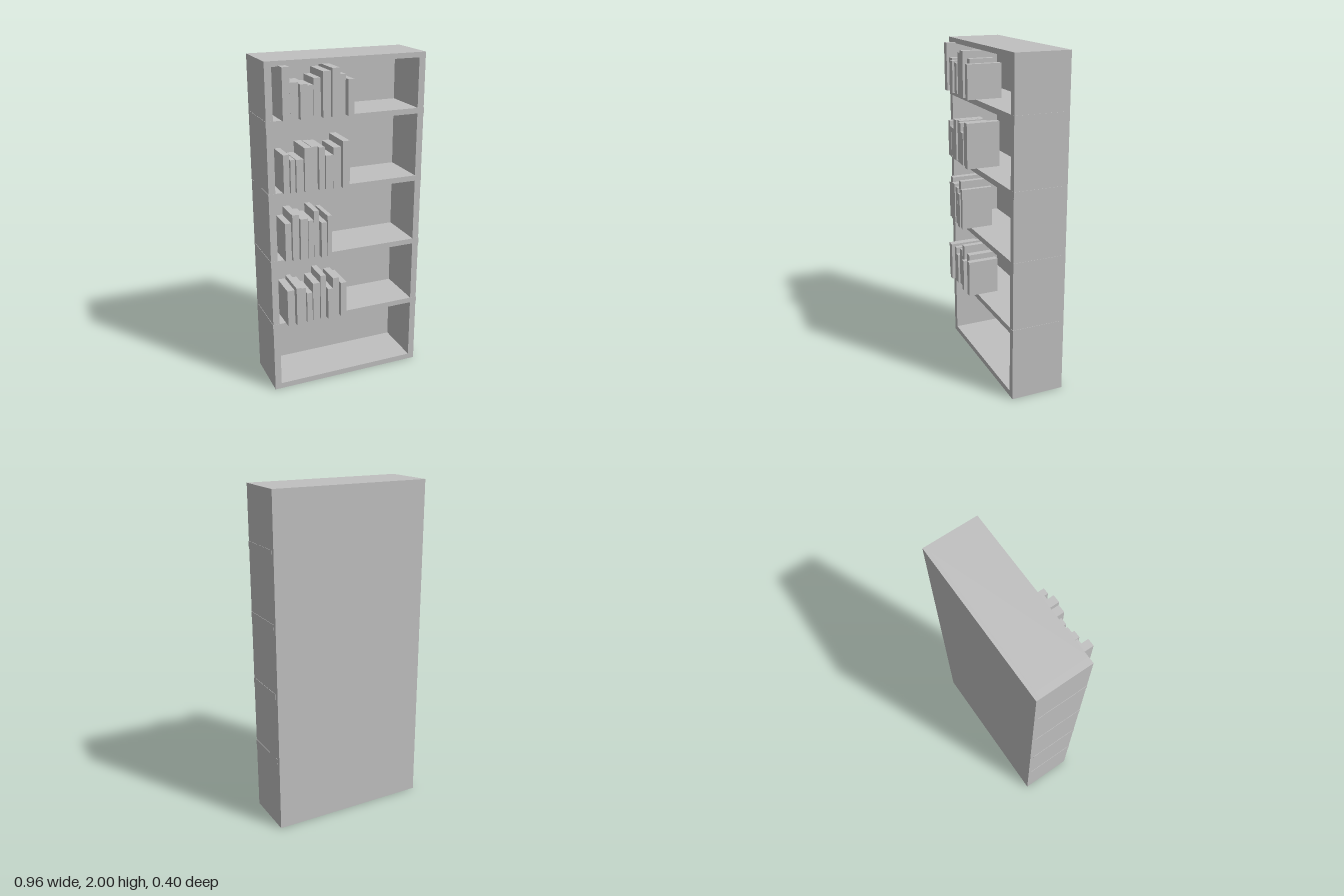
import * as THREE from 'three';

const grey = new THREE.MeshStandardMaterial({ color: 0xc0c0c0 });
grey.name = 'plain grey';

// Box given by its minimum and maximum corners
function box(parent, name, x0, x1, y0, y1, z0, z1) {
  const mesh = new THREE.Mesh(new THREE.BoxGeometry(x1 - x0, y1 - y0, z1 - z0), grey);
  mesh.position.set((x0 + x1) / 2, (y0 + y1) / 2, (z0 + z1) / 2);
  mesh.name = name;
  parent.add(mesh);
}

// Each row: base height, then books as [left, right, top, front]
const rows = [
  { base: 1.69, books: [
    [-0.404, -0.362, 1.975, 0.186], [-0.357, -0.31, 1.89, 0.172], [-0.304, -0.263, 1.88, 0.188],
    [-0.26, -0.225, 1.87, 0.176], [-0.22, -0.18, 1.905, 0.168], [-0.174, -0.128, 1.94, 0.187],
    [-0.122, -0.077, 1.955, 0.193], [-0.07, -0.034, 1.915, 0.168], [-0.03, 0.005, 1.89, 0.197]] },
  { base: 1.278, books: [
    [-0.404, -0.37, 1.5, 0.17], [-0.365, -0.338, 1.47, 0.175], [-0.331, -0.288, 1.467, 0.175],
    [-0.283, -0.241, 1.53, 0.18], [-0.238, -0.204, 1.53, 0.17], [-0.198, -0.164, 1.525, 0.18],
    [-0.159, -0.114, 1.475, 0.185], [-0.111, -0.066, 1.515, 0.18], [-0.061, -0.019, 1.55, 0.195]] },
  { base: 0.868, books: [
    [-0.404, -0.368, 1.1, 0.17], [-0.362, -0.323, 1.148, 0.176], [-0.317, -0.272, 1.12, 0.185],
    [-0.267, -0.235, 1.103, 0.18], [-0.23, -0.198, 1.153, 0.17], [-0.193, -0.159, 1.085, 0.195],
    [-0.153, -0.127, 1.12, 0.19]] },
  { base: 0.456, books: [
    [-0.404, -0.36, 0.684, 0.18], [-0.352, -0.323, 0.698, 0.193], [-0.317, -0.288, 0.684, 0.175],
    [-0.283, -0.249, 0.647, 0.18], [-0.241, -0.198, 0.698, 0.17], [-0.193, -0.159, 0.74, 0.17],
    [-0.153, -0.122, 0.655, 0.19], [-0.114, -0.074, 0.71, 0.17], [-0.069, -0.032, 0.678, 0.187]] },
];

export function createModel() {
  const model = new THREE.Group();
  model.name = 'bookcase';

  // Case: back, two sides, top and bottom
  const frame = new THREE.Group();
  frame.name = 'case';
  model.add(frame);
  box(frame, 'backPanel', -0.48, 0.48, 0, 2, -0.2, -0.178);
  box(frame, 'rightSide', -0.48, -0.44, 0, 2, -0.178, 0.125);
  box(frame, 'leftSide', 0.44, 0.48, 0, 2, -0.178, 0.125);
  box(frame, 'topBoard', -0.44, 0.44, 1.97, 2, -0.178, 0.125);
  box(frame, 'bottomBoard', -0.44, 0.44, 0, 0.035, -0.178, 0.125);

  // Shelves, with ends just proud of the sides
  for (const y of [0.417, 0.828, 1.238, 1.648])
    box(frame, 'shelf', -0.482, 0.482, y, y + 0.033, -0.177, 0.126);

  // Books, each centred on the same depth line
  const middle = 0.092;
  for (const { base, books } of rows) {
    const group = new THREE.Group();
    group.name = 'bookRow';
    model.add(group);
    for (const [left, right, top, front] of books)
      box(group, 'book', left, right, base, top, 2 * middle - front, front);
  }
  return model;
}
